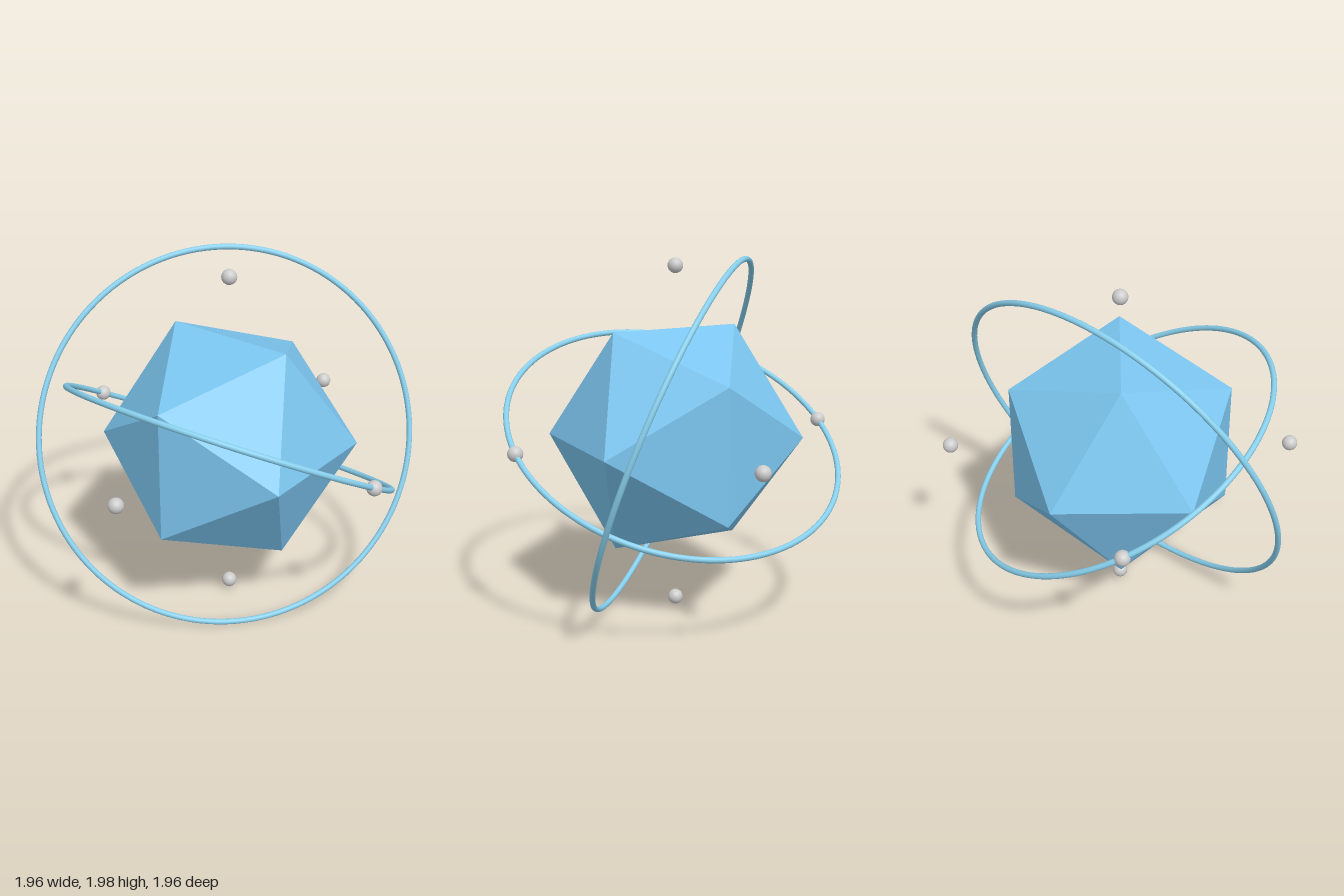
import * as THREE from 'three';

export function createModel() {
  const group = new THREE.Group();
  group.name = 'orbitingIcosahedron';

  const coreMaterial = new THREE.MeshStandardMaterial({ color: 0x7cc6f0, flatShading: true });
  const ringMaterial = new THREE.MeshStandardMaterial({ color: 0x87ceeb });
  const beadMaterial = new THREE.MeshStandardMaterial({ color: 0xcccccc });

  // Everything is arranged around a centre one unit above the ground
  const add = (name, geometry, material) => {
    const mesh = new THREE.Mesh(geometry, material);
    mesh.name = name;
    mesh.position.y = 1;
    group.add(mesh);
    return mesh;
  };

  // Faceted core
  add('core', new THREE.IcosahedronGeometry(0.702, 0), coreMaterial);

  // Two thin tilted rings
  const addRing = (name, radius, tiltX, tiltY) => {
    const ring = add(name, new THREE.TorusGeometry(radius, 0.0156, 16, 128), ringMaterial);
    ring.rotation.set(tiltX, tiltY, 0);
  };
  addRing('innerRing', 0.936, Math.PI / 3, 0);
  addRing('outerRing', 1.041, -Math.PI / 6, Math.PI / 4);

  // Six beads, one at each end of the three axes
  const beadGeometry = new THREE.SphereGeometry(0.042, 24, 16);
  const beads = {
    leftBead: [1, 0, 0], rightBead: [-1, 0, 0],
    topBead: [0, 1, 0], bottomBead: [0, -1, 0],
    frontBead: [0, 0, 1], backBead: [0, 0, -1],
  };
  for (const [name, direction] of Object.entries(beads)) {
    const bead = add(name, beadGeometry, beadMaterial);
    bead.position.addScaledVector(new THREE.Vector3(...direction), 0.936);
  }

  return group;
}
